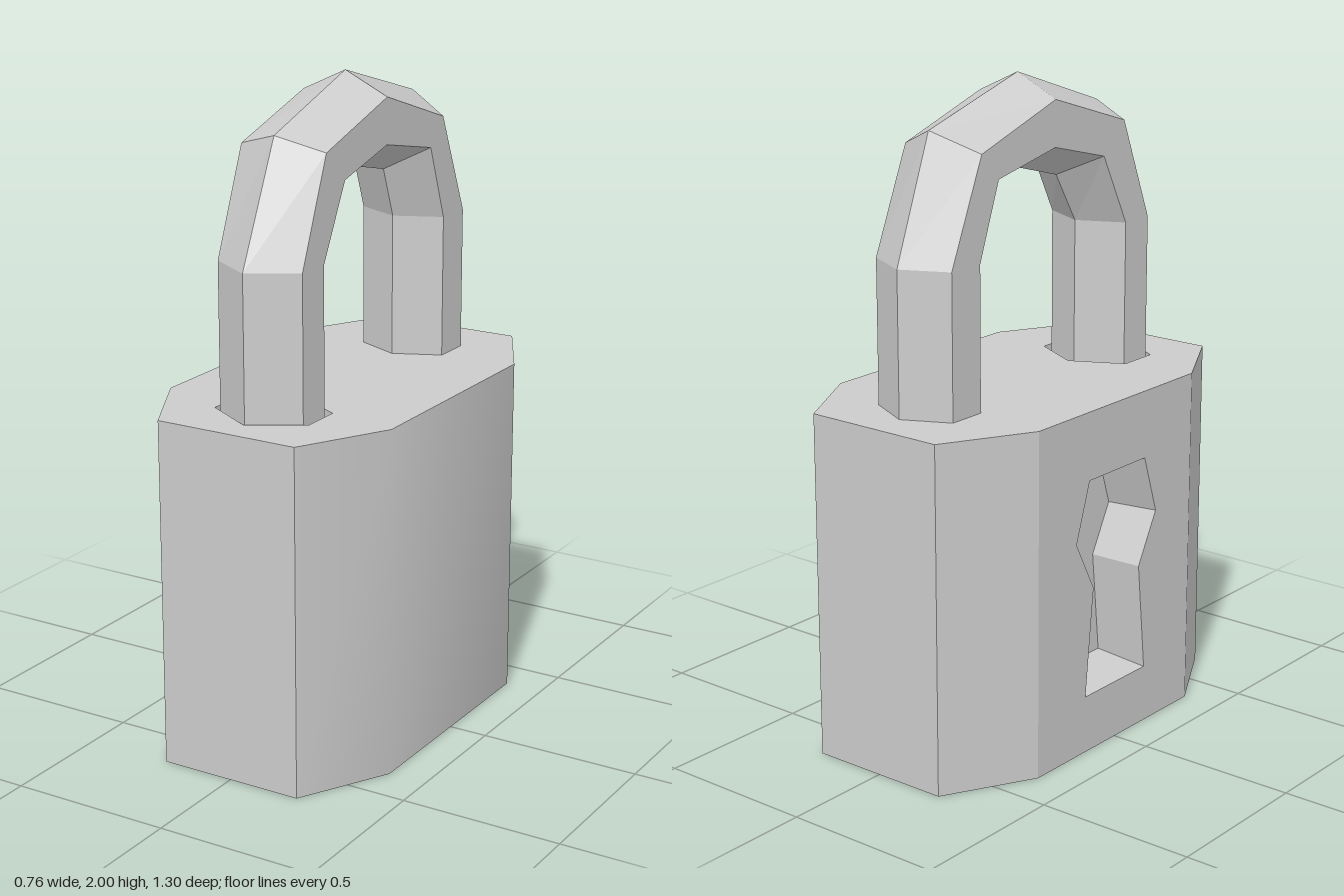
import * as THREE from 'three';
import { toCreasedNormals } from 'three/addons/utils/BufferGeometryUtils.js';

const H = 1.07; // body height
const flat = new THREE.MeshStandardMaterial({ color: 0xcccccc, flatShading: true });
const smooth = new THREE.MeshStandardMaterial({ color: 0xcccccc });

// Skin a list of rings (arrays of [x, y, z]); rings may be open or closed
function loft(rings, closed = true) {
  const n = rings[0].length;
  const index = [];
  for (let i = 0; i < rings.length - 1; i++) {
    for (let j = 0; j < (closed ? n : n - 1); j++) {
      const k = (j + 1) % n;
      const a = i * n + j, b = i * n + k, c = b + n, d = a + n;
      index.push(a, b, c, a, c, d);
    }
  }
  const g = new THREE.BufferGeometry();
  g.setAttribute('position', new THREE.Float32BufferAttribute(rings.flat(2), 3));
  g.setIndex(index);
  g.computeVertexNormals();
  return g;
}

// Flat panel with optional hole
function panel(outline, hole) {
  const toV = (pts) => pts.map(([x, y]) => new THREE.Vector2(x, y));
  const shape = new THREE.Shape(toV(outline));
  if (hole) shape.holes.push(new THREE.Path(toV(hole)));
  return new THREE.ShapeGeometry(shape);
}

export function createModel() {
  const model = new THREE.Group();
  const add = (parent, name, geometry, material = flat) => {
    const mesh = new THREE.Mesh(geometry, material);
    mesh.name = name;
    parent.add(mesh);
    return mesh;
  };

  // Body: eight-sided block, plan outlines given as [x, -z]
  const body = new THREE.Group();
  body.name = 'body';
  model.add(body);
  const plan = [
    [-0.38, -0.375], [-0.23, -0.65], [0.23, -0.65], [0.38, -0.375],
    [0.38, 0.375], [0.23, 0.65], [-0.23, 0.65], [-0.38, 0.375],
  ];
  const slot = [
    [0, -0.557], [0.16, -0.464], [0.16, -0.333],
    [0, -0.25], [-0.16, -0.333], [-0.16, -0.464],
  ];
  const level = (pts, y) => pts.map(([x, s]) => [x, y, -s]);
  const walls = loft([level(plan, 0), level(plan, H)], false);
  add(body, 'bodyWalls', toCreasedNormals(walls, 0.6), smooth);
  add(body, 'bodyTop', panel(plan, slot).rotateX(-Math.PI / 2).translate(0, H, 0));
  add(body, 'bodyBottom', panel(plan).rotateX(Math.PI / 2));

  // Slot that receives the front shackle leg
  const slotFloor = H - 0.15;
  add(body, 'slotWalls', loft([level(slot, H), level(slot, slotFloor)]));
  add(body, 'slotFloor', panel(slot).rotateX(-Math.PI / 2).translate(0, slotFloor, 0));

  // Keyhole recessed into the right side, outline given as [z, y]
  const half = [[0.148, 0.18], [0.113, 0.52], [0.197, 0.677], [0.136, 0.86]];
  const keyhole = [...half, ...half.map(([z, y]) => [-z, y]).reverse()];
  const keyholeBack = keyhole.map(([z, y]) => [z * 0.95, 0.53 + (y - 0.53) * 0.95]);
  const side = [[-0.375, 0], [0.375, 0], [0.375, H], [-0.375, H]];
  const depth = 0.17;
  const upright = (pts, x) => pts.map(([z, y]) => [x, y, z]);
  add(body, 'keyholeSide', panel(side, keyhole).rotateY(-Math.PI / 2).translate(-0.38, 0, 0));
  add(body, 'keyholeWalls', loft([upright(keyhole, -0.38), upright(keyholeBack, -0.38 + depth)]));
  add(body, 'keyholeBack',
    panel(keyholeBack).rotateY(-Math.PI / 2).translate(-0.38 + depth, 0, 0));

  // Shackle: each station lists [z, y] of outer ridge, outer edge, inner edge, inner ridge
  const frontLeg = [0.55, 0.463, 0.349, 0.28];
  const backLeg = [-0.538, -0.468, -0.344, -0.28];
  const straight = (leg, y) => leg.map((z) => [z, y]);
  const stations = [
    straight(frontLeg, slotFloor),
    straight(frontLeg, 1.51),
    [[0.383, 1.87], [0.335, 1.827], [0.235, 1.732], [0.185, 1.666]],
    [[0, 2], [0, 1.933], [0, 1.793], [0, 1.717]],
    [[-0.397, 1.883], [-0.335, 1.823], [-0.26, 1.74], [-0.222, 1.666]],
    straight(backLeg, 1.51),
    straight(backLeg, H - 0.05),
  ];
  const w = 0.142;
  const rings = stations.map(([ridge, outer, inner, innerRidge]) => [
    [0, ridge], [w, outer], [w, inner], [0, innerRidge], [-w, inner], [-w, outer],
  ].map(([x, [z, y]]) => [x, y, z]));
  add(model, 'shackle', loft(rings));

  return model;
}
